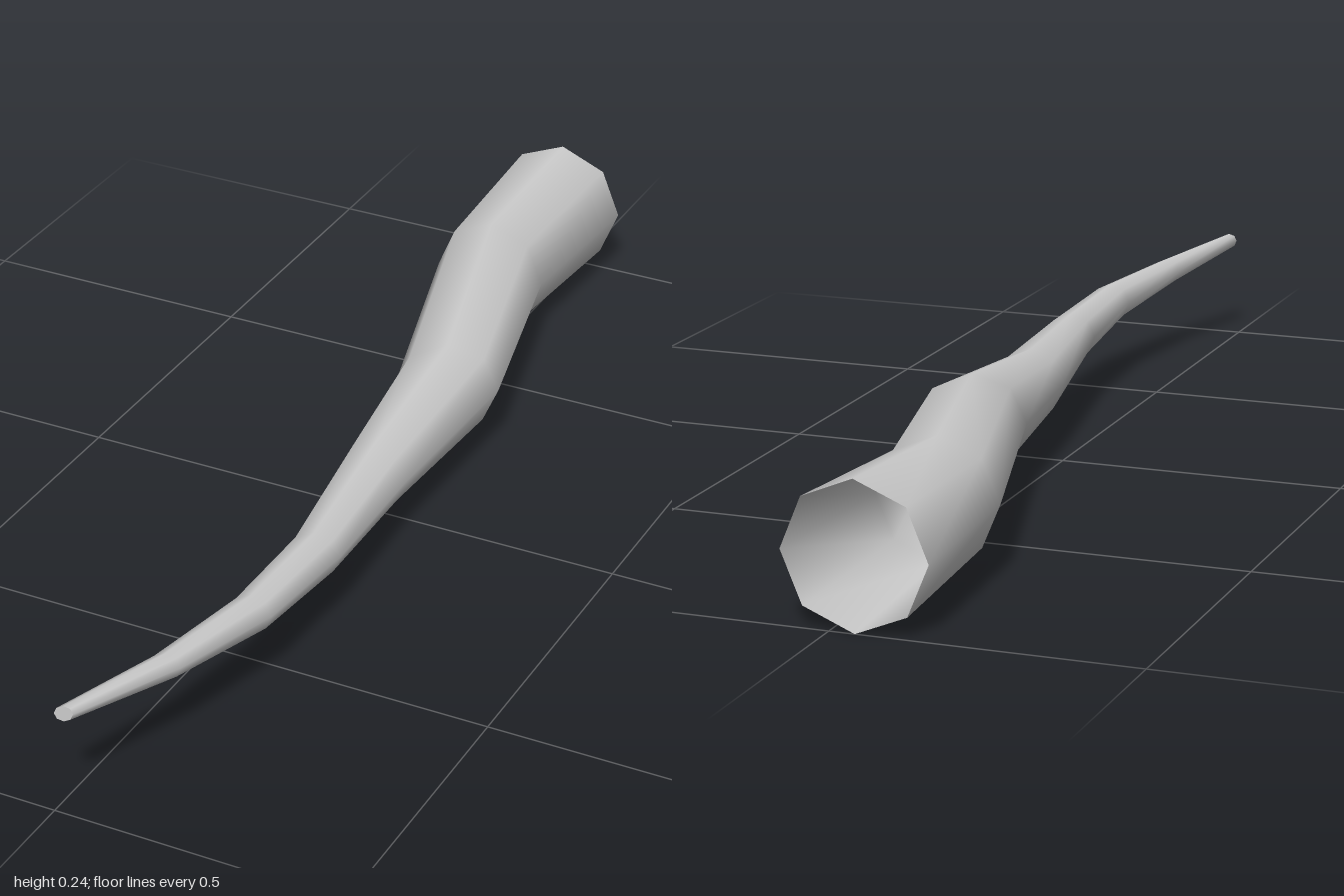
import * as THREE from 'three';

const SIDES = 8;
// Rings along the horn, from open base to tip: centre x, y, z, radius, z slope across x
const RINGS = [
  [-0.042, 0.121, -1.0, 0.12, 0],
  [-0.043, 0.121, -0.675, 0.103, -0.05],
  [0.07, 0.124, -0.248, 0.086, -0.38],
  [0.082, 0.119, 0.06, 0.06, 0],
  [0.116, 0.131, 0.353, 0.042, -0.3],
  [0.117, 0.147, 0.575, 0.034, -0.15],
  [0.08, 0.163, 0.787, 0.024, -0.25],
  [0.021, 0.185, 0.995, 0.014, -0.35],
];

function ringPoint([x, y, z, r, slope], j) {
  const a = (j / SIDES) * Math.PI * 2;
  const dx = Math.cos(a) * r;
  return [x + dx, y + Math.sin(a) * r, z + dx * slope];
}

// Tapering tube with shared vertices, so it shades smoothly
function tubeGeometry() {
  const positions = [], index = [];
  RINGS.forEach((ring, i) => {
    for (let j = 0; j < SIDES; j++) {
      positions.push(...ringPoint(ring, j));
      if (i === RINGS.length - 1) continue;
      const a = i * SIDES + j, b = i * SIDES + ((j + 1) % SIDES);
      index.push(a, b, a + SIDES, b, b + SIDES, a + SIDES);
    }
  });
  const g = new THREE.BufferGeometry();
  g.setAttribute('position', new THREE.Float32BufferAttribute(positions, 3));
  g.setIndex(index);
  g.computeVertexNormals();
  return g;
}

// Flat disc closing the narrow end
function tipGeometry() {
  const [x, y, z, r, slope] = RINGS[RINGS.length - 1];
  const g = new THREE.CircleGeometry(r, SIDES);
  const p = g.attributes.position;
  for (let i = 0; i < p.count; i++) p.setZ(i, p.getX(i) * slope);
  g.translate(x, y, z);
  g.computeVertexNormals();
  return g;
}

export function createModel() {
  const group = new THREE.Group();
  group.name = 'horn';
  const material = new THREE.MeshStandardMaterial({ color: 0xcccccc, side: THREE.DoubleSide });

  const shaft = new THREE.Mesh(tubeGeometry(), material);
  shaft.name = 'hornShaft';
  const tip = new THREE.Mesh(tipGeometry(), material);
  tip.name = 'hornTip';
  group.add(shaft, tip);
  return group;
}
